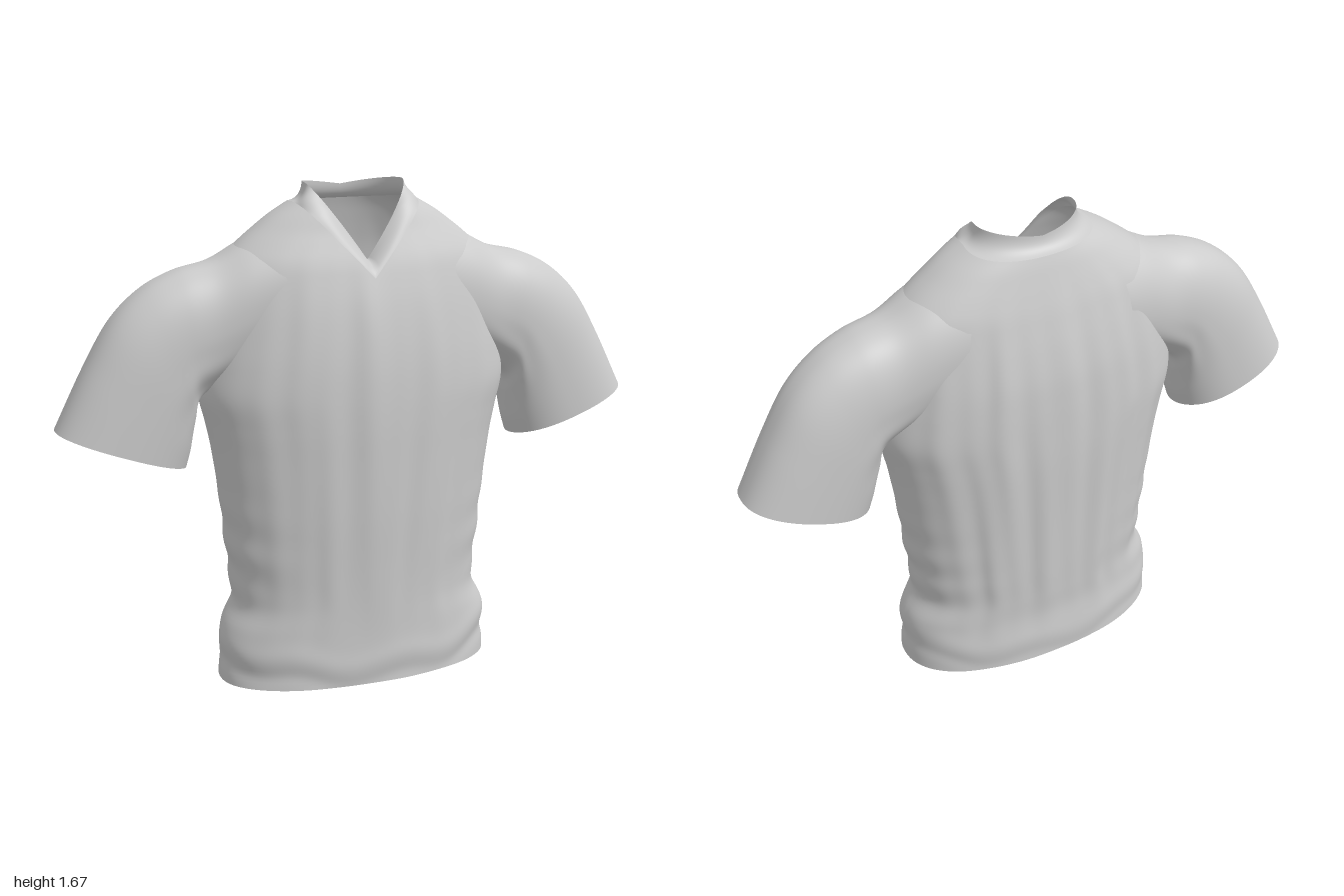
import * as THREE from 'three';

const material = new THREE.MeshStandardMaterial({ color: 0xcccccc, side: THREE.DoubleSide });

// Smooth interpolation of a table of rows [key, a, b, ...]
function sample(table, key, col) {
  const n = table.length;
  let i = 0;
  while (i < n - 2 && key > table[i + 1][0]) i++;
  const slope = (k) => {
    const a = table[Math.max(k - 1, 0)], b = table[Math.min(k + 1, n - 1)];
    return (b[col] - a[col]) / (b[0] - a[0]);
  };
  const h = table[i + 1][0] - table[i][0];
  const t = THREE.MathUtils.clamp((key - table[i][0]) / h, 0, 1);
  const t2 = t * t, t3 = t2 * t;
  return (2 * t3 - 3 * t2 + 1) * table[i][col] + (t3 - 2 * t2 + t) * h * slope(i)
    + (3 * t2 - 2 * t3) * table[i + 1][col] + (t3 - t2) * h * slope(i + 1);
}

// Tube-like surface, closed around u, open at both ends along v; faces wholly inside another part are left out
function loft(name, rows, cols, point, hidden = () => false) {
  const pos = [], index = [], inside = [];
  for (let j = 0; j <= rows; j++)
    for (let i = 0; i < cols; i++) {
      const p = point((i / cols) * Math.PI * 2, j / rows);
      pos.push(...p);
      inside.push(hidden(...p));
    }
  const face = (...f) => { if (!f.every((k) => inside[k])) index.push(...f); };
  for (let j = 0; j < rows; j++)
    for (let i = 0; i < cols; i++) {
      const k = (i + 1) % cols;
      const a = j * cols + i, b = a + cols, c = j * cols + k, d = c + cols;
      face(a, b, c);
      face(b, d, c);
    }
  const geo = new THREE.BufferGeometry();
  geo.setAttribute('position', new THREE.Float32BufferAttribute(pos, 3));
  geo.setIndex(index);
  geo.computeVertexNormals();
  const mesh = new THREE.Mesh(geo, material);
  mesh.name = name;
  return mesh;
}

const { smoothstep, lerp } = THREE.MathUtils;
const power = (v, e) => Math.sign(v) * Math.abs(v) ** e;
const bump = (v, center, width) => Math.exp(-(((v - center) / width) ** 2));

// Body profile: height, half width, front depth, back depth
const BODY = [
  [0, 0.482, 0.232, 0.243], [0.1, 0.478, 0.234, 0.243], [0.2, 0.465, 0.234, 0.236],
  [0.29, 0.432, 0.236, 0.24], [0.4, 0.442, 0.24, 0.245], [0.6, 0.462, 0.25, 0.252],
  [0.8, 0.488, 0.256, 0.259], [0.9, 0.508, 0.258, 0.261], [1.0, 0.53, 0.257, 0.26],
  [1.1, 0.52, 0.252, 0.257], [1.2, 0.5, 0.241, 0.25], [1.3, 0.48, 0.224, 0.234],
  [1.4, 0.458, 0.2, 0.212], [1.44, 0.438, 0.188, 0.202], [1.485, 0.392, 0.172, 0.189],
  [1.525, 0.342, 0.158, 0.177], [1.57, 0.28, 0.146, 0.163], [1.61, 0.21, 0.135, 0.148],
];

// Soft cloth folds as a relative offset
function folds(t, y) {
  const s = Math.sin(t), c = Math.cos(t);
  const fade = smoothstep(y, 0.05, 0.4) * (1 - smoothstep(y, 1.2, 1.58));
  const drape = (s > 0 ? 0.008 : 0.018) * s * s * fade
    * (Math.sin(c * 17 + y * 1.6) + 0.6 * Math.sin(c * 31 - y * 2.4));
  const ridge = s > 0 ? 0.025 * bump(c, -0.03, 0.07) * fade : 0;
  const sides = 0.012 * c ** 4 * Math.sin(y * 42 + s * 2) * bump(y, 0.38, 0.22);
  const wave = 0.15 - 0.07 * s * s + 0.015 * Math.sin(c * 9);
  const hem = (s > 0 ? 0.016 : 0.009) * (bump(y, wave, 0.04) - bump(y, wave - 0.07, 0.03));
  return 1 + drape + ridge + sides + hem;
}

function bodyPoint(t, y) {
  const f = folds(t, y), s = Math.sin(t);
  return [
    sample(BODY, y, 1) * power(Math.cos(t), 0.91) * f, y,
    sample(BODY, y, s > 0 ? 2 : 3) * power(s, 0.91) * f,
  ];
}

function insideBody(x, y, z) {
  const w = sample(BODY, y, 1), d = sample(BODY, y, z > 0 ? 2 : 3);
  return y < 1.61 && Math.abs(x / w) ** 2.2 + Math.abs(z / d) ** 2.2 < 0.96;
}

// Height of the body's upper edge: level behind, cut to a V in front
function edgeHeight(t) {
  const top = 1.61;
  if (Math.sin(t) <= 0) return top + 0.015 * Math.sin(t);
  let lo = 1.3, hi = top;
  for (let i = 0; i < 30; i++) {
    const mid = (lo + hi) / 2;
    if (mid < 1.38 + 1.095 * Math.abs(bodyPoint(t, mid)[0])) lo = mid; else hi = mid;
  }
  return lo;
}

// Collar stands up at the neck and rolls smoothly inward along the V
function collarPoint(t, v) {
  const s = Math.sin(t), c = Math.cos(t), ac = Math.abs(c);
  const y = edgeHeight(t);
  const edge = bodyPoint(t, y), onward = bodyPoint(t, y + 0.035);
  const rim = [0.17 * c, s > 0 ? 1.43 + 0.24 * ac : 1.645 + 0.025 * ac, (s > 0 ? 0.132 : 0.117) * s];
  const roll = smoothstep(s, 0, 0.6);
  return edge.map((e, k) => {
    const upright = lerp(e, rim[k], k === 1 ? 0.15 : 0.95);
    const control = lerp(upright, onward[k], roll);
    return (1 - v) ** 2 * e + 2 * v * (1 - v) * control + v * v * rim[k];
  });
}

// Sleeve sections: step, top x, top y, underside x, underside y, half depth
const SLEEVE = [
  [0, 0.25, 1.53, 0.33, 1.12, 0.18], [1, 0.37, 1.492, 0.42, 1.07, 0.163],
  [2, 0.48, 1.437, 0.505, 1.02, 0.15], [3, 0.6, 1.408, 0.545, 0.98, 0.148],
  [4, 0.71, 1.355, 0.553, 0.92, 0.148], [5, 0.81, 1.262, 0.56, 0.87, 0.148],
  [6, 0.9, 1.115, 0.568, 0.82, 0.146], [7, 1.0, 0.92, 0.582, 0.768, 0.143],
];
const sleeveSection = (v) => [1, 2, 3, 4, 5].map((col) => sample(SLEEVE, v * 7, col));

function sleeve(name, side) {
  return loft(name, 64, 96, (t, v) => {
    const [tx, ty, bx, by, d] = sleeveSection(v);
    const cos = Math.cos(t), under = Math.max(0, -cos);
    const c = power(cos, 0.9), s = -side * power(Math.sin(t), 0.83 + 0.2 * under * v);
    const f = 1 + 0.05 * under * Math.sin(t * 9 + v * 5) * bump(v, 0.45, 0.25);
    return [
      side * ((tx + bx) / 2 + ((tx - bx) / 2) * c),
      (ty + by) / 2 + ((ty - by) / 2) * c,
      d * s * f - 0.006,
    ];
  }, insideBody);
}

// Finds the sleeve section through a point, then compares the point with its outline
function insideSleeve(x, y, z) {
  const ax = Math.abs(x);
  if (y < 0.95 || ax < 0.28) return false;
  let lo = 0, hi = 1;
  for (let i = 0; i < 20; i++) {
    const mid = (lo + hi) / 2, [tx, ty, bx, by] = sleeveSection(mid);
    if ((ax - bx) * (ty - by) > (y - by) * (tx - bx)) lo = mid; else hi = mid;
  }
  const [, ty, , by, d] = sleeveSection(lo);
  const c = Math.abs((2 * y - ty - by) / (ty - by));
  return lo > 0.01 && c ** 2.2 + Math.abs((z + 0.006) / d) ** 2.4 < 0.93;
}

export function createModel() {
  const shirt = new THREE.Group();
  shirt.name = 'shirt';
  shirt.add(loft('body', 120, 200, (t, v) => bodyPoint(t, v * edgeHeight(t)), insideSleeve));
  shirt.add(loft('collar', 10, 200, collarPoint));
  shirt.add(sleeve('leftSleeve', 1), sleeve('rightSleeve', -1));
  return shirt;
}
